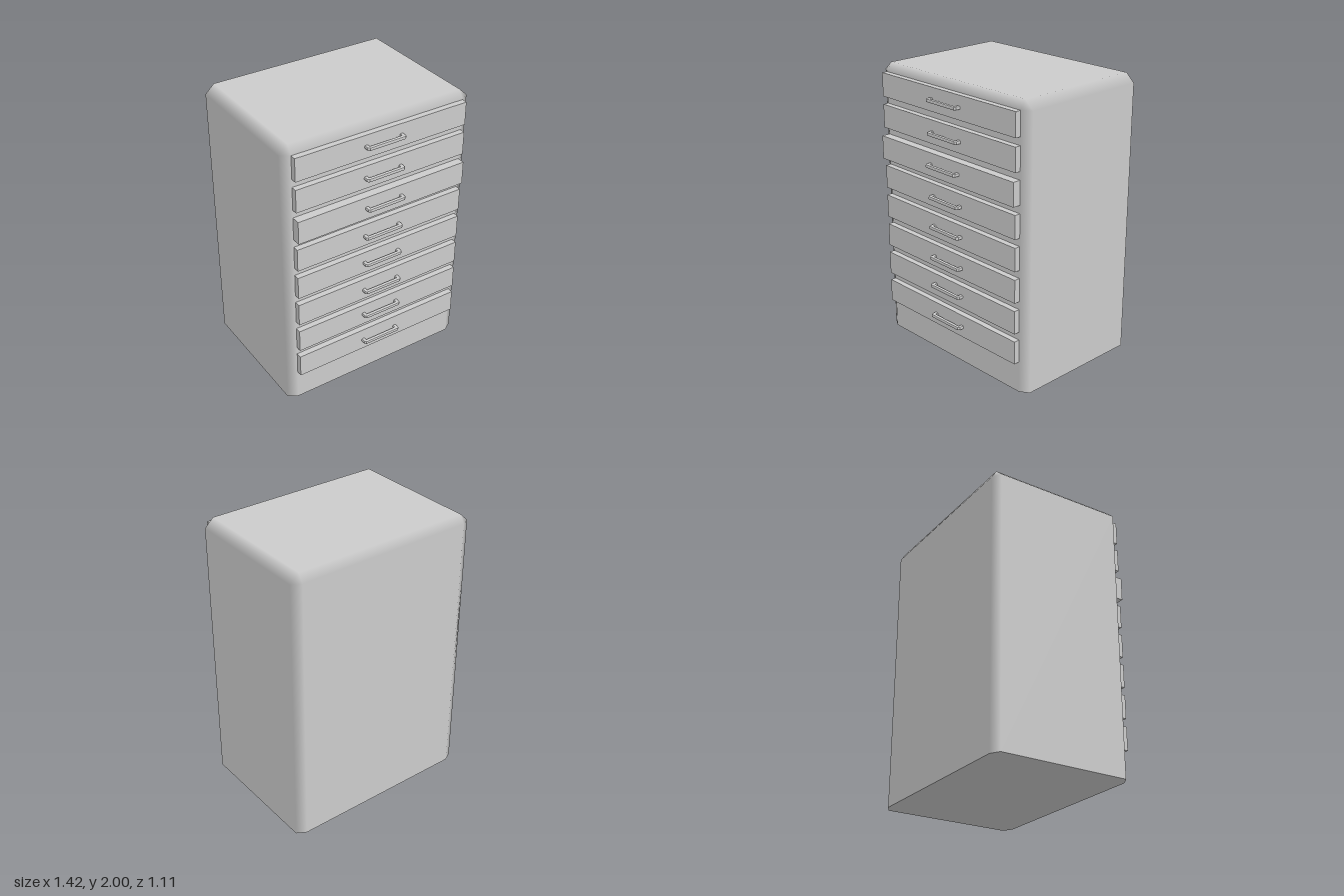
import * as THREE from 'three';

const HALF_W = 0.71, INSET_X = 0.645;
const BACK = -0.555, FRONT = 0.455, INSET_BACK = -0.518, INSET_FRONT = 0.415;
const SHOULDER = 1.94, TOP = 2;

// Cabinet shell: octagonal plan, chamfered top, normals blended across the chamfers
function cabinetGeometry() {
  const plan = [ // x, z, normal x, normal z; counter-clockwise from above
    [HALF_W, INSET_FRONT, 1, 0], [HALF_W, INSET_BACK, 1, 0],
    [INSET_X, BACK, 0, -1], [-INSET_X, BACK, 0, -1],
    [-HALF_W, INSET_BACK, -1, 0], [-HALF_W, INSET_FRONT, -1, 0],
    [-INSET_X, FRONT, 0, 1], [INSET_X, FRONT, 0, 1],
  ];
  const pos = [], nor = [], idx = [];
  const ring = (y, inset, ny) => plan.forEach(([x, z, nx, nz]) => {
    pos.push(inset ? Math.sign(x) * INSET_X : x, y,
      inset ? THREE.MathUtils.clamp(z, INSET_BACK, INSET_FRONT) : z);
    nor.push(ny ? 0 : nx, ny, ny ? 0 : nz);
  });
  ring(0, false, 0);
  ring(SHOULDER, false, 0);
  ring(TOP, true, 1);
  ring(0, false, -1); // underside, sharp edge
  for (let r = 0; r < 2; r++) {
    for (let i = 0; i < 8; i++) {
      const a = r * 8 + i, b = r * 8 + (i + 1) % 8;
      idx.push(a, b, b + 8);
      // on the top ring the points of a corner coincide
      idx.push(a, b + 8, a + 8);
    }
  }
  for (let i = 1; i < 7; i++) {
    idx.push(16, 16 + i, 17 + i);
    idx.push(24, 25 + i, 24 + i);
  }
  const g = new THREE.BufferGeometry();
  g.setAttribute('position', new THREE.Float32BufferAttribute(pos, 3));
  g.setAttribute('normal', new THREE.Float32BufferAttribute(nor, 3));
  g.setIndex(idx);
  return g;
}

// U-shaped pull with bevelled edges, legs pointing back into the drawer front
function handleGeometry() {
  const outer = 0.139, inner = 0.127, tip = 0.037, cut = 0.008;
  const s = new THREE.Shape([
    [-outer, -0.01], [-inner, -0.01], [-inner, tip - 0.011], [inner, tip - 0.011],
    [inner, -0.01], [outer, -0.01], [outer, tip - cut], [outer - cut, tip],
    [-outer + cut, tip], [-outer, tip - cut],
  ].map(([x, y]) => new THREE.Vector2(x, y)));
  const g = new THREE.ExtrudeGeometry(s, {
    depth: 0.01, bevelThickness: 0.007, bevelSize: 0.007, bevelSegments: 2,
  });
  g.translate(0, 0, -0.005);
  g.rotateX(Math.PI / 2);
  return g;
}

export function createModel() {
  const group = new THREE.Group();
  const mat = new THREE.MeshStandardMaterial({ color: 0xcccccc });
  const add = (parent, name, geo, x = 0, y = 0, z = 0) => {
    const m = new THREE.Mesh(geo, mat);
    m.name = name;
    m.position.set(x, y, z);
    parent.add(m);
  };

  add(group, 'cabinet', cabinetGeometry());

  // Eight drawers; the third from the top is pulled out a little, slightly askew
  const panel = new THREE.BoxGeometry(1.29, 0.165, 0.08);
  const handle = handleGeometry();
  const handleShift = [0, -0.005, 0, -0.008, -0.002, -0.008, 0.004, -0.006];
  handleShift.forEach((shift, i) => {
    const drawer = new THREE.Group();
    drawer.name = `drawer${i + 1}`;
    const open = i === 2;
    drawer.position.set(0, 1.857 - i * 0.2215, open ? 0.514 : 0.496);
    if (open) drawer.rotation.y = 0.004;
    add(drawer, 'drawerFront', panel, 0, 0, -0.04);
    add(drawer, 'handle', handle, 0, shift, 0);
    group.add(drawer);
  });
  return group;
}
